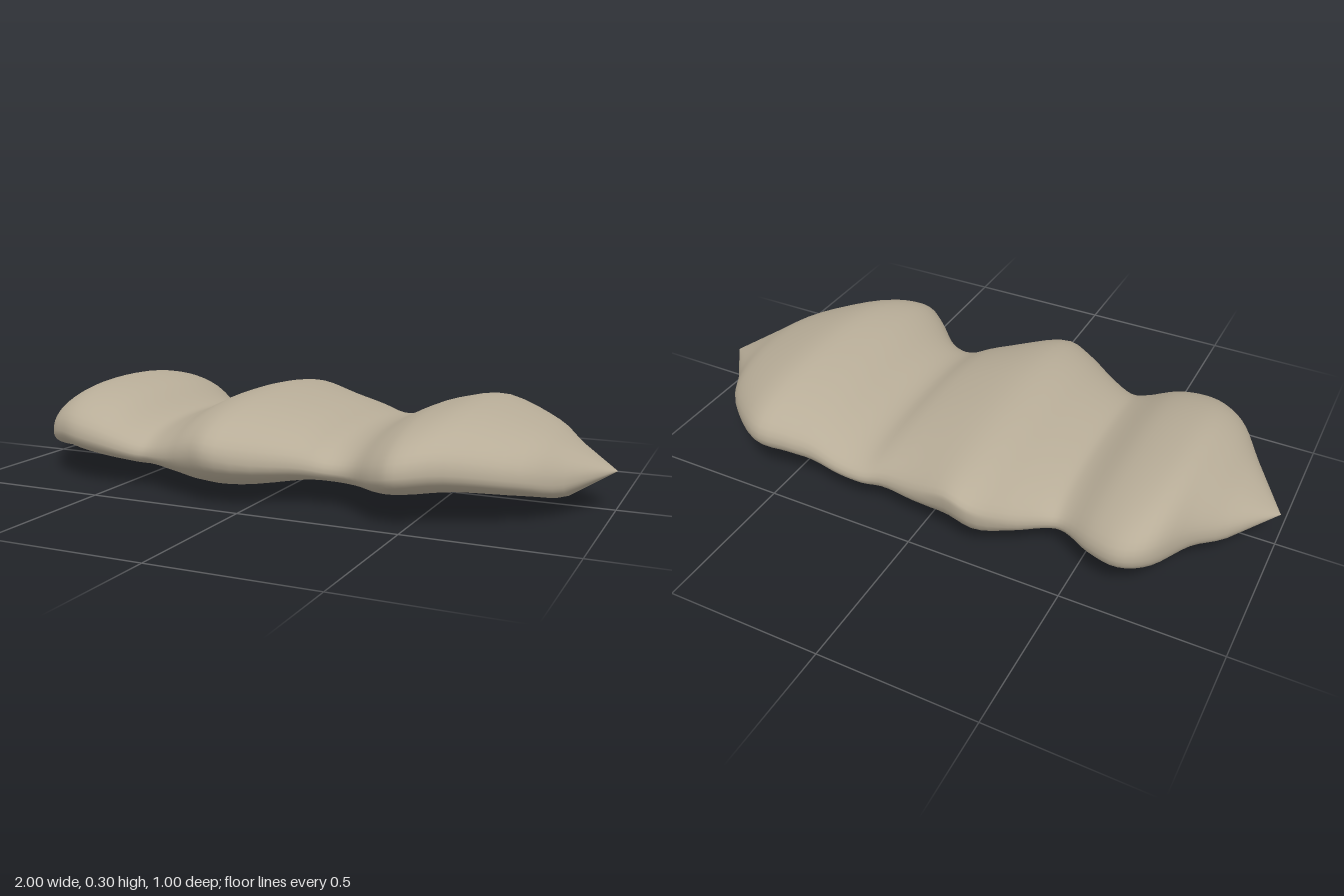
import * as THREE from 'three';

// Stations along x: [x, top y, bottom y, back z, front z]
const STATIONS = [
  [-1, 0.12, 0.12, 0, 0],
  [-0.88, 0.195, 0.06, -0.16, 0.19],
  [-0.8, 0.255, 0.064, -0.27, 0.305],
  [-0.73, 0.293, 0.062, -0.41, 0.355],
  [-0.65, 0.293, 0.055, -0.457, 0.39],
  [-0.55, 0.267, 0.048, -0.425, 0.398],
  [-0.45, 0.212, 0.046, -0.357, 0.38],
  [-0.39, 0.201, 0.043, -0.36, 0.372],
  [-0.3, 0.235, 0.025, -0.43, 0.41],
  [-0.2, 0.282, 0.002, -0.498, 0.46],
  [-0.08, 0.291, 0.011, -0.478, 0.495],
  [0.11, 0.245, 0.042, -0.433, 0.395],
  [0.21, 0.203, 0.045, -0.433, 0.35],
  [0.3, 0.212, 0.042, -0.43, 0.367],
  [0.4, 0.26, 0.042, -0.425, 0.455],
  [0.48, 0.288, 0.052, -0.443, 0.49],
  [0.6, 0.3, 0.06, -0.45, 0.432],
  [0.78, 0.245, 0.053, -0.305, 0.31],
  [0.88, 0.19, 0.05, -0.16, 0.185],
  [1, 0.12, 0.12, 0, 0],
];

// Smooth interpolation of a whole station; the pointed end spans stay straight
function stationAt(t) {
  const last = STATIONS.length - 1;
  const i = Math.min(Math.floor(t), last - 1);
  const f = t - i;
  const b = STATIONS[i], c = STATIONS[i + 1];
  if (i === 0 || i === last - 1) return b.map((v, k) => v + (c[k] - v) * f);
  const a = STATIONS[i - 1], d = STATIONS[i + 2];
  return b.map((v, k) => v + 0.5 * f * (c[k] - a[k]
    + f * (2 * a[k] - 5 * v + 4 * c[k] - d[k]
    + f * (3 * (v - c[k]) + d[k] - a[k]))));
}

// Closed rounded cross-sections joined into one skin
function lumpyBody(steps, sides) {
  const positions = [], indices = [];
  const rounded = (v) => Math.sign(v) * Math.abs(v) ** 0.9;
  const rings = (STATIONS.length - 1) * steps;
  for (let i = 0; i <= rings; i++) {
    const [x, top, bottom, back, front] = stationAt(i / steps);
    // The rim rises at the middle lobe, most of all at the back
    const lift = Math.exp(-(((x + 0.15) / 0.13) ** 2));
    const frontRim = bottom + 0.42 * (top - bottom) + 0.03 * lift;
    const backRim = bottom + 0.47 * (top - bottom) + 0.07 * lift;
    for (let j = 0; j < sides; j++) {
      const angle = (j / sides) * Math.PI * 2;
      const across = rounded(Math.cos(angle));
      const up = rounded(Math.sin(angle));
      const z = (front + back) / 2 + across * (front - back) / 2;
      const rim = backRim + (frontRim - backRim) * (across + 1) / 2;
      const y = rim + up * (up > 0 ? top - rim : rim - bottom);
      positions.push(x, y, z);
    }
  }
  for (let i = 0; i < rings; i++) {
    for (let j = 0; j < sides; j++) {
      const a = i * sides + j, b = i * sides + (j + 1) % sides;
      indices.push(a, a + sides, b, b, a + sides, b + sides);
    }
  }
  const geometry = new THREE.BufferGeometry();
  geometry.setAttribute('position', new THREE.Float32BufferAttribute(positions, 3));
  geometry.setIndex(indices);
  geometry.computeVertexNormals();
  return geometry;
}

export function createModel() {
  const group = new THREE.Group();
  group.name = 'lumpyRock';
  const stone = new THREE.MeshStandardMaterial({ color: 0xb8ad98 });
  stone.name = 'warm stone';

  // Three swelling lobes tapering to a point at each end
  const body = new THREE.Mesh(lumpyBody(4, 48), stone);
  body.name = 'rockBody';
  group.add(body);
  return group;
}
